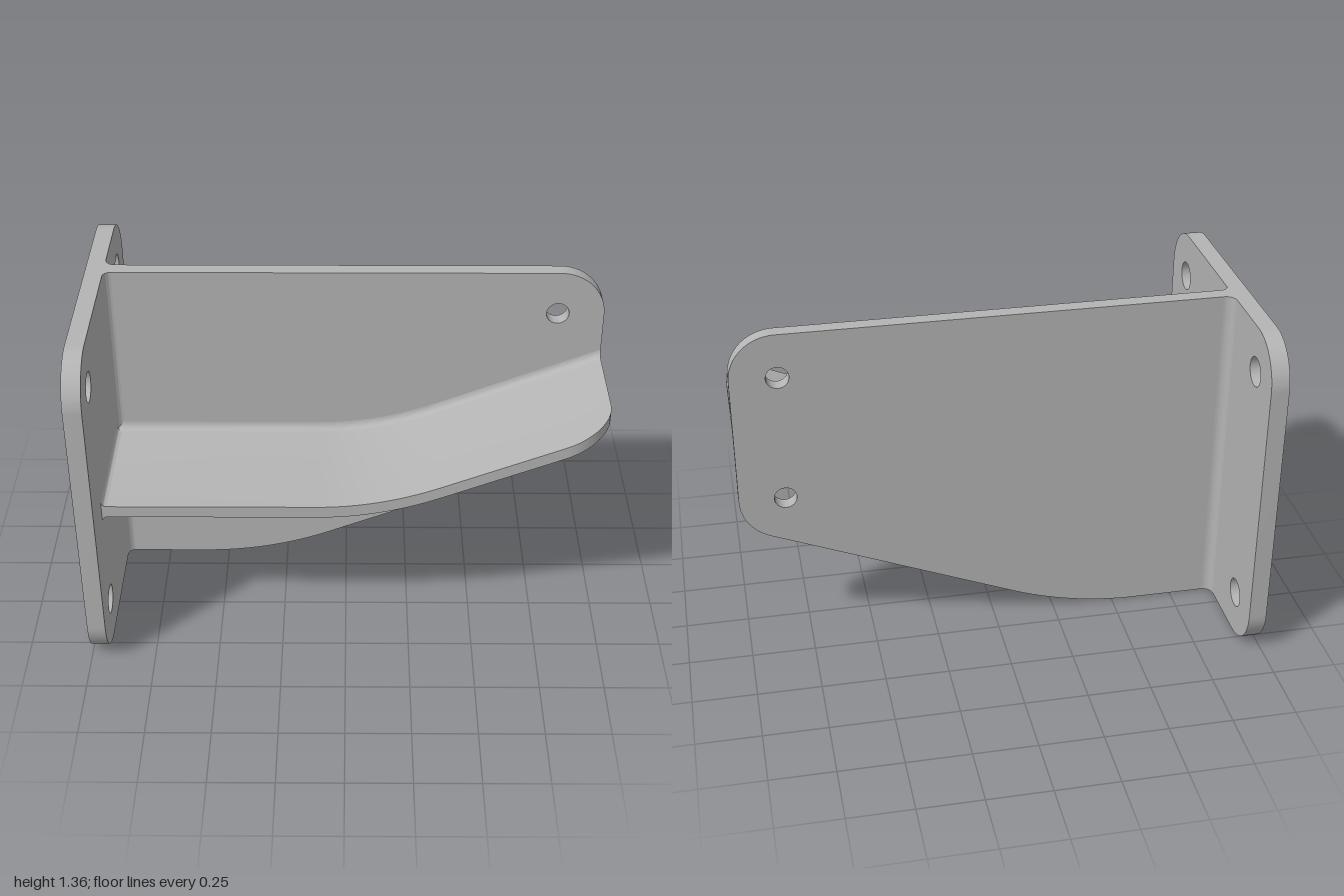
import * as THREE from 'three';
import { toCreasedNormals } from 'three/addons/utils/BufferGeometryUtils.js';

const H = 1.355;            // overall height
const BASE = -0.93;         // inner face of the mounting plate
const WEB_BACK = -0.15, WEB_FRONT = -0.09;
const SLOPE = Math.atan(0.4);

function hole(shape, x, y, r) {
  const p = new THREE.Path();
  p.absarc(x, y, r, 0, Math.PI * 2, true);
  shape.holes.push(p);
}

function extrude(shape, depth) {
  return new THREE.ExtrudeGeometry(shape, { depth, bevelEnabled: false, curveSegments: 16 });
}

// Concave corner strip, with its sharp corner on the z axis
function filletStrip(r, length) {
  const s = new THREE.Shape();
  s.moveTo(0, 0);
  s.lineTo(r, 0);
  s.absarc(r, r, r, -Math.PI / 2, -Math.PI, true);
  return extrude(s, length);
}

function mountingPlateGeometry() {
  const s = new THREE.Shape(), w = 0.617, r = 0.18;
  s.absarc(w - r, r, r, -Math.PI / 2, 0, false);
  s.absarc(w - r, H - r, r, 0, Math.PI / 2, false);
  s.absarc(-w + r, H - r, r, Math.PI / 2, Math.PI, false);
  s.absarc(-w + r, r, r, Math.PI, Math.PI * 1.5, false);
  for (const z of [-0.44, 0.44]) for (const y of [0.178, 1.178]) hole(s, z, y, 0.058);
  return extrude(s, BASE + 1).rotateY(Math.PI / 2).translate(-1, 0, 0);
}

function webGeometry() {
  const s = new THREE.Shape();
  s.moveTo(BASE, 0);
  s.lineTo(-0.6, 0);
  s.quadraticCurveTo(-0.32, 0, -0.06, 0.108);
  s.absarc(0.82, 0.657, 0.18, SLOPE - Math.PI / 2, 0, false);
  s.absarc(0.82, H - 0.18, 0.18, 0, Math.PI / 2, false);
  s.lineTo(BASE, H);
  hole(s, 0.82, 0.657, 0.044);
  hole(s, 0.82, 1.178, 0.044);
  return extrude(s, WEB_FRONT - WEB_BACK).translate(0, 0, WEB_BACK);
}

// Height of the top of the bent flange: flat, then a bend, then a straight slope
function flangeTop(x) {
  const a = -0.11, b = 0.36;
  if (x <= a) return 0.635;
  if (x >= b) return 0.635 + 0.4 * (x - (a + b) / 2);
  return 0.635 + 0.2 * (x - a) ** 2 / (b - a);
}

// Cross-section of the flange as (z, y) points, blending into the web
function flangeSection(x) {
  const top = flangeTop(x), bottom = top - 0.049;
  const outer = x > 0.82 ? 0.26 + Math.sqrt(Math.max(0, 0.18 ** 2 - (x - 0.82) ** 2)) : 0.44;
  const pts = [], n = 5, rb = 0.045, rt = 0.03;
  for (let i = 0; i <= n; i++) {
    const t = Math.PI - (i / n) * Math.PI / 2;
    pts.push(new THREE.Vector2(WEB_FRONT + rb + rb * Math.cos(t), bottom - rb + rb * Math.sin(t)));
  }
  pts.push(new THREE.Vector2(outer, bottom), new THREE.Vector2(outer, top));
  for (let i = 0; i <= n; i++) {
    const t = -Math.PI / 2 - (i / n) * Math.PI / 2;
    pts.push(new THREE.Vector2(WEB_FRONT + rt + rt * Math.cos(t), top + rt + rt * Math.sin(t)));
  }
  return pts;
}

function flangeGeometry() {
  const xs = [BASE];
  for (let i = 0; i <= 16; i++) xs.push(-0.11 + 0.47 * i / 16);
  for (let i = 0; i <= 14; i++) xs.push(0.82 + 0.18 * Math.sin((i / 14) * Math.PI / 2));
  const sections = xs.map(flangeSection), n = sections[0].length;
  const pos = [], index = [];
  sections.forEach((sec, i) => sec.forEach(p => pos.push(xs[i], p.y, p.x)));
  for (let i = 0; i < xs.length - 1; i++) {
    for (let j = 0; j < n - 1; j++) {
      const a = i * n + j, b = a + n;
      index.push(a, b, b + 1, a, b + 1, a + 1);
    }
  }
  // Cap on the free end
  const o = (xs.length - 1) * n;
  for (const [a, b, c] of THREE.ShapeUtils.triangulateShape(sections[xs.length - 1], [])) {
    index.push(o + a, o + c, o + b);
  }
  const g = new THREE.BufferGeometry();
  g.setAttribute('position', new THREE.Float32BufferAttribute(pos, 3));
  g.setIndex(index);
  return g;
}

export function createModel() {
  const model = new THREE.Group();
  model.name = 'bracket';
  const grey = new THREE.MeshStandardMaterial({ color: 0xb4b4b4 });
  grey.name = 'plain grey';

  function add(name, geometry) {
    const mesh = new THREE.Mesh(toCreasedNormals(geometry, 0.5), grey);
    mesh.name = name;
    model.add(mesh);
  }

  add('mountingPlate', mountingPlateGeometry());
  add('web', webGeometry());
  add('bentFlange', flangeGeometry());

  // Weld fillets along the mounting plate
  add('backWebFillet', filletStrip(0.04, H).rotateX(-Math.PI / 2).translate(BASE, 0, WEB_BACK));
  add('frontWebFillet', filletStrip(0.03, H).rotateX(Math.PI / 2).translate(BASE, H, WEB_FRONT));
  const reach = 0.44 - WEB_FRONT;
  add('upperFlangeFillet', filletStrip(0.02, reach).translate(BASE, 0.635, WEB_FRONT));
  add('lowerFlangeFillet', filletStrip(0.02, reach).rotateX(Math.PI).translate(BASE, 0.586, 0.44));
  return model;
}
